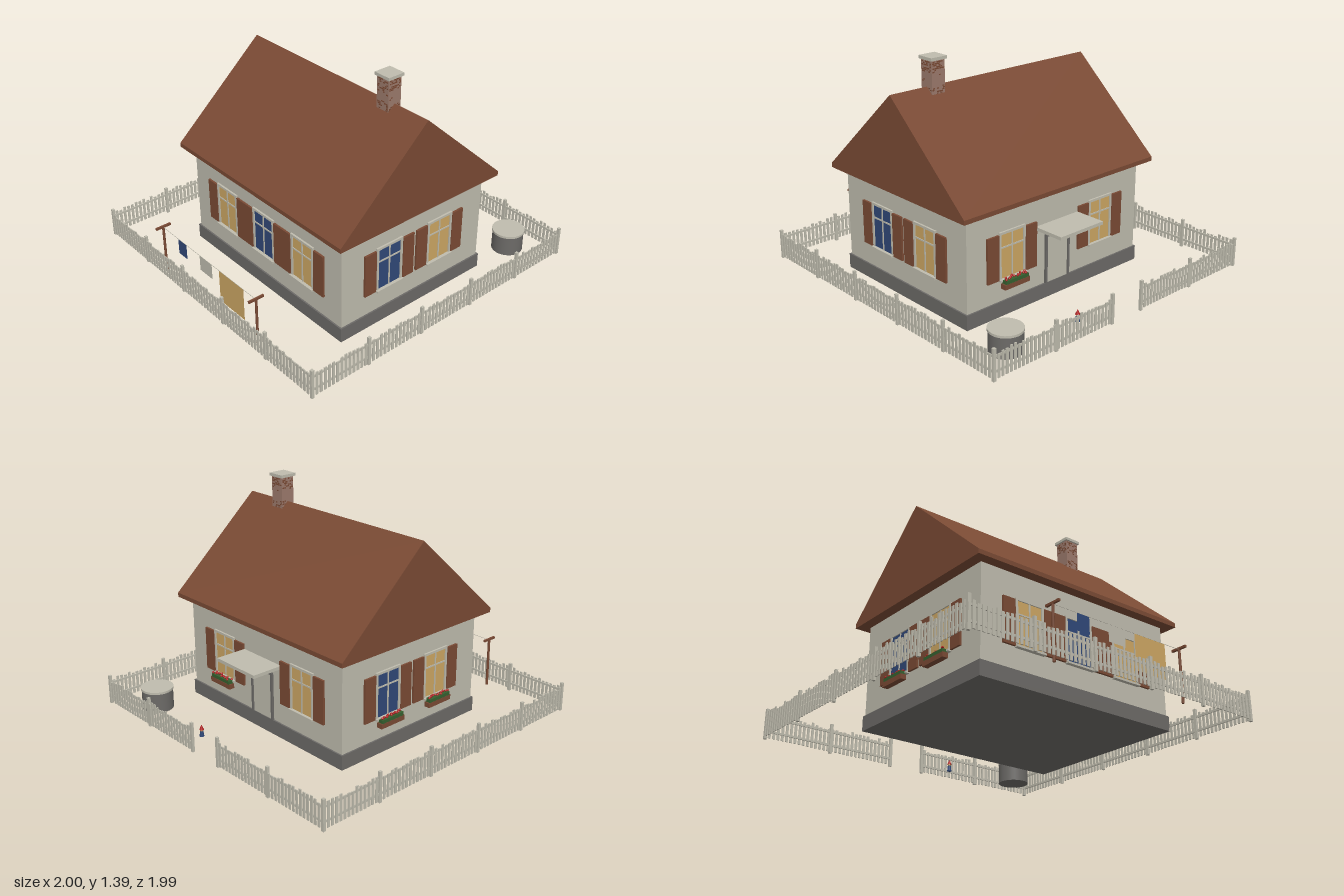
import * as THREE from 'three';
import { mergeGeometries } from 'three/addons/utils/BufferGeometryUtils.js';

const mat = (name, color, side = THREE.FrontSide) => {
  const m = new THREE.MeshStandardMaterial({ color, side });
  m.name = name;
  return m;
};

// Small seeded generator for the uneven pickets, bricks and flowers
let seed = 7;
const rand = () => (seed = (seed * 16807) % 2147483647) / 2147483647;

// Box geometry from its size and centre
const boxGeo = (w, h, d, x, y, z) => new THREE.BoxGeometry(w, h, d).translate(x, y, z);

export function createModel() {
  const model = new THREE.Group();
  model.name = 'cottage';
  const M = {
    plaster: mat('plaster', 0xbfbcae),
    stone: mat('stone', 0x6c6a67),
    wood: mat('wood', 0x7a4a34),
    mortar: mat('mortar', 0x9c7a6c),
    yellow: mat('yellow', 0xcca663, THREE.DoubleSide),
    blue: mat('blue', 0x304878, THREE.DoubleSide),
    linen: mat('linen', 0xbfbcae, THREE.DoubleSide),
    red: mat('red', 0xb02222),
    green: mat('green', 0x35602f),
  };
  const add = (parent, name, geo, m) => {
    const mesh = new THREE.Mesh(geo, m);
    mesh.name = name;
    parent.add(mesh);
    return mesh;
  };
  const group = (parent, name) => {
    const g = new THREE.Group();
    g.name = name;
    parent.add(g);
    return g;
  };

  // House body
  const CX = -0.038, CZ = 0.07, W = 1.085, D = 1.355;
  const house = group(model, 'house');
  add(house, 'walls', boxGeo(W, 0.57, D, CX, 0.37, CZ), M.plaster);
  add(house, 'plinth', boxGeo(W + 0.02, 0.09, D + 0.02, CX, 0.045, CZ), M.stone);

  // Gable roof with low fascia
  const gable = new THREE.Shape([[-0.645, 0.65], [0.567, 0.65], [0.567, 0.677], [-0.039, 1.22], [-0.645, 0.677]]
    .map(([x, y]) => new THREE.Vector2(x, y)));
  add(house, 'roof', new THREE.ExtrudeGeometry(gable, { depth: 1.485, bevelEnabled: false })
    .translate(0, 0, -0.673), M.wood);

  // Chimney with worn patches of brick
  const chimney = group(house, 'chimney');
  chimney.position.set(-0.04, 0, 0.51);
  add(chimney, 'chimneyStack', boxGeo(0.092, 0.25, 0.092, 0, 1.25, 0), M.mortar);
  add(chimney, 'chimneyCap', boxGeo(0.112, 0.018, 0.112, 0, 1.381, 0), M.plaster);
  const bricks = [];
  for (let side = 0; side < 4; side++) {
    for (let row = 0; row < 20; row++) {
      const chance = row > 12 ? 0.6 : row < 5 ? 0.45 : 0.06;
      for (let i = 0; i < 6; i++) {
        if (rand() > chance) continue;
        const x = -0.036 + i * 0.014 + (row % 2) * 0.003;
        bricks.push(boxGeo(0.012, 0.007, 0.002, x, 1.185 + row * 0.0093, 0.0462).rotateY(side * Math.PI / 2));
      }
    }
  }
  add(chimney, 'chimneyBricks', mergeGeometries(bricks), M.wood);

  // Window with shutters and an optional flower box, facing local +z
  function addWindow(wall, x, glass, flowers) {
    const g = group(wall, 'window');
    g.position.x = x;
    add(g, 'glass', boxGeo(0.18, 0.27, 0.006, 0, 0.362, 0.002), glass);
    add(g, 'windowFrame', mergeGeometries([
      boxGeo(0.014, 0.285, 0.014, -0.09, 0.362, 0.005),
      boxGeo(0.014, 0.285, 0.014, 0.09, 0.362, 0.005),
      boxGeo(0.194, 0.014, 0.014, 0, 0.498, 0.005),
      boxGeo(0.2, 0.012, 0.03, 0, 0.222, 0.01),
      boxGeo(0.009, 0.27, 0.01, 0, 0.362, 0.004),
      boxGeo(0.18, 0.009, 0.01, 0, 0.412, 0.004),
    ]), M.plaster);
    for (const s of [-1, 1]) {
      add(g, 'shutter', boxGeo(0.084, 0.27, 0.014, s * 0.143, 0.358, 0.006), M.wood);
    }
    if (!flowers) return;
    add(g, 'flowerBox', boxGeo(0.185, 0.03, 0.036, 0, 0.192, 0.035), M.wood);
    add(g, 'leaves', boxGeo(0.17, 0.024, 0.034, 0, 0.216, 0.035), M.green);
    const blooms = [];
    for (let i = 0; i < 14; i++) {
      blooms.push(new THREE.IcosahedronGeometry(0.008, 0)
        .translate(-0.078 + i * 0.012, 0.23 + rand() * 0.008, 0.023 + rand() * 0.026));
    }
    add(g, 'blooms', mergeGeometries(blooms), M.red);
  }

  // A wall group centred on one side of the house, local +z pointing outward
  function wallGroup(name, x, z, turn) {
    const g = group(house, name);
    g.position.set(x, 0, z);
    g.rotation.y = turn * Math.PI / 2;
    return g;
  }
  const front = wallGroup('frontWall', CX, CZ + D / 2, 0);
  const left = wallGroup('leftWall', CX + W / 2, CZ, 1);
  const back = wallGroup('backWall', CX, CZ - D / 2, 2);
  const right = wallGroup('rightWall', CX - W / 2, CZ, 3);
  addWindow(front, -0.196, M.blue, false);
  addWindow(front, 0.196, M.yellow, false);
  addWindow(back, -0.196, M.blue, true);
  addWindow(back, 0.196, M.yellow, true);
  addWindow(left, -0.353, M.yellow, true);
  addWindow(left, 0.353, M.yellow, false);
  addWindow(right, -0.353, M.yellow, false);
  addWindow(right, 0, M.blue, false);
  addWindow(right, 0.353, M.yellow, false);

  // Door and canopy
  add(left, 'door', boxGeo(0.17, 0.29, 0.008, 0, 0.235, 0.002), M.plaster);
  add(left, 'doorFrame', mergeGeometries([
    boxGeo(0.014, 0.3, 0.016, -0.089, 0.24, 0.006),
    boxGeo(0.014, 0.3, 0.016, 0.089, 0.24, 0.006),
    boxGeo(0.192, 0.014, 0.016, 0, 0.385, 0.006),
  ]), M.stone);
  add(left, 'canopy', boxGeo(0.337, 0.02, 0.2, 0, 0.449, 0.1), M.plaster);

  // Picket fence run along local x from a to b, split into bays
  function fenceRun(a, b, bays, x, z, turn) {
    const parts = [];
    const len = b - a, count = Math.round(len / 0.0283);
    for (let i = 0; i <= bays; i++) parts.push(boxGeo(0.018, 0.185, 0.016, a + len * i / bays, 0.0925, 0));
    for (let i = 1; i < count; i++) {
      const h = 0.135 + rand() * 0.022;
      parts.push(boxGeo(0.016, h, 0.006, a + len * i / count, 0.012 + h / 2, 0.005));
    }
    for (const y of [0.05, 0.135]) parts.push(boxGeo(len, 0.013, 0.006, (a + b) / 2, y, -0.001));
    const run = add(fence, 'fenceRun', mergeGeometries(parts), M.plaster);
    run.position.set(x, 0, z);
    run.rotation.y = turn * Math.PI / 2;
  }
  const fence = group(model, 'fence');
  const F = 0.988;
  fenceRun(-F, F, 5, 0, F, 0);
  fenceRun(-F, F, 5, 0, -F, 2);
  fenceRun(-F, F, 5, -F, 0, 3);
  fenceRun(-F, -0.12, 2, F, 0, 1);
  fenceRun(0.12, F, 2, F, 0, 1);

  // Round well in the corner of the yard
  const well = group(model, 'well');
  well.position.set(0.806, 0, 0.742);
  add(well, 'wellRing', new THREE.CylinderGeometry(0.096, 0.096, 0.125, 32).translate(0, 0.0625, 0), M.stone);
  add(well, 'wellLid', new THREE.CylinderGeometry(0.1, 0.1, 0.014, 32).translate(0, 0.132, 0), M.plaster);

  // Garden figure with pointed hat
  const figure = group(model, 'gardenFigure');
  figure.position.set(0.84, 0, 0.237);
  add(figure, 'figureBody', new THREE.CylinderGeometry(0.01, 0.014, 0.035, 12).translate(0, 0.0175, 0), M.blue);
  add(figure, 'figureHead', new THREE.SphereGeometry(0.01, 12, 8).translate(0, 0.04, 0), M.yellow);
  add(figure, 'figureHat', new THREE.ConeGeometry(0.014, 0.032, 12).translate(0, 0.06, 0), M.red);

  // Clothesline with hanging cloths
  const line = group(model, 'clothesline');
  line.position.x = -0.95;
  for (const z of [0.475, -0.44]) {
    add(line, 'linePost', new THREE.CylinderGeometry(0.008, 0.008, 0.315, 10).translate(0, 0.1575, z), M.wood);
    add(line, 'crossBar', boxGeo(0.1, 0.013, 0.013, 0, 0.317, z), M.wood);
  }
  add(line, 'rope', boxGeo(0.002, 0.002, 0.915, 0, 0.312, 0.0175), M.plaster);
  for (const [z, w, h, m] of [[0.245, 0.23, 0.21, M.yellow], [0, 0.12, 0.1, M.linen], [-0.237, 0.085, 0.1, M.blue]]) {
    add(line, 'cloth', new THREE.PlaneGeometry(w, h).rotateY(Math.PI / 2).translate(0, 0.312 - h / 2, z), m);
  }
  return model;
}
